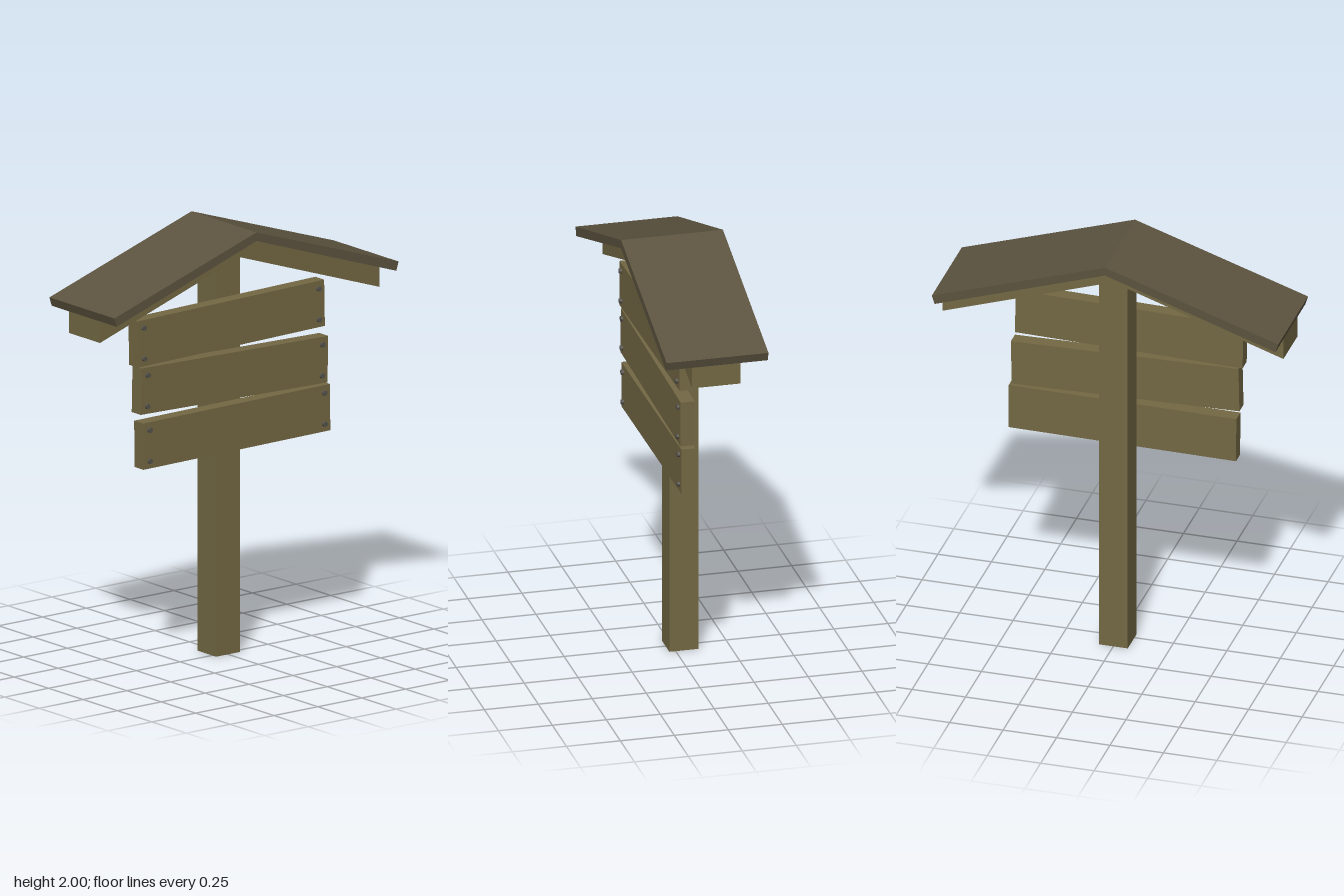
import * as THREE from 'three';

const paint = (color) => new THREE.MeshStandardMaterial({ color, flatShading: true });

// Inverted-V profile extruded between two depths
function chevron(points, zBack, zFront, material, name) {
  const geometry = new THREE.ExtrudeGeometry(
    new THREE.Shape(points.map(([x, y]) => new THREE.Vector2(x, y))),
    { depth: zFront - zBack, bevelEnabled: false });
  geometry.translate(0, 0, zBack);
  const mesh = new THREE.Mesh(geometry, material);
  mesh.name = name;
  return mesh;
}

export function createModel() {
  const model = new THREE.Group();
  model.name = 'signpost';
  const wood = paint(0x736844);
  const roofWood = paint(0x5c533f);
  const metal = paint(0x55524a);

  // Square post
  const post = new THREE.Mesh(new THREE.BoxGeometry(0.135, 1.88, 0.135), wood);
  post.name = 'post';
  post.position.set(0, 0.94, -0.038);
  model.add(post);

  // Roof beam and the wider roof on top of it
  model.add(chevron(
    [[-0.797, 1.592], [0, 1.86], [0.797, 1.592], [0.797, 1.692], [0, 1.96], [-0.797, 1.692]],
    -0.11, 0.115, wood, 'roofBeam'));
  model.add(chevron(
    [[-0.797, 1.692], [0, 1.96], [0.797, 1.692], [0.81, 1.733], [0, 2], [-0.81, 1.733]],
    -0.236, 0.236, roofWood, 'roof'));

  // Three slightly tilted boards, each with a nail near every corner
  const boardGeometry = new THREE.BoxGeometry(1.065, 0.215, 0.065);
  const nailGeometry = new THREE.CylinderGeometry(0.012, 0.012, 0.02, 10);
  nailGeometry.rotateX(Math.PI / 2);
  const boards = [
    ['topBoard', -0.034, 1.553, 0.019],
    ['middleBoard', -0.015, 1.31, -0.021],
    ['bottomBoard', -0.002, 1.069, 0.0095],
  ];
  for (const [name, x, y, tilt] of boards) {
    const group = new THREE.Group();
    group.name = name;
    group.position.set(x, y, 0.0625);
    group.rotation.z = tilt;
    const plank = new THREE.Mesh(boardGeometry, wood);
    plank.name = 'plank';
    group.add(plank);
    for (const sx of [-1, 1]) for (const sy of [-1, 1]) {
      const nail = new THREE.Mesh(nailGeometry, metal);
      nail.name = 'nail';
      nail.position.set(sx * 0.498, sy * 0.072, 0.034);
      group.add(nail);
    }
    model.add(group);
  }
  return model;
}
